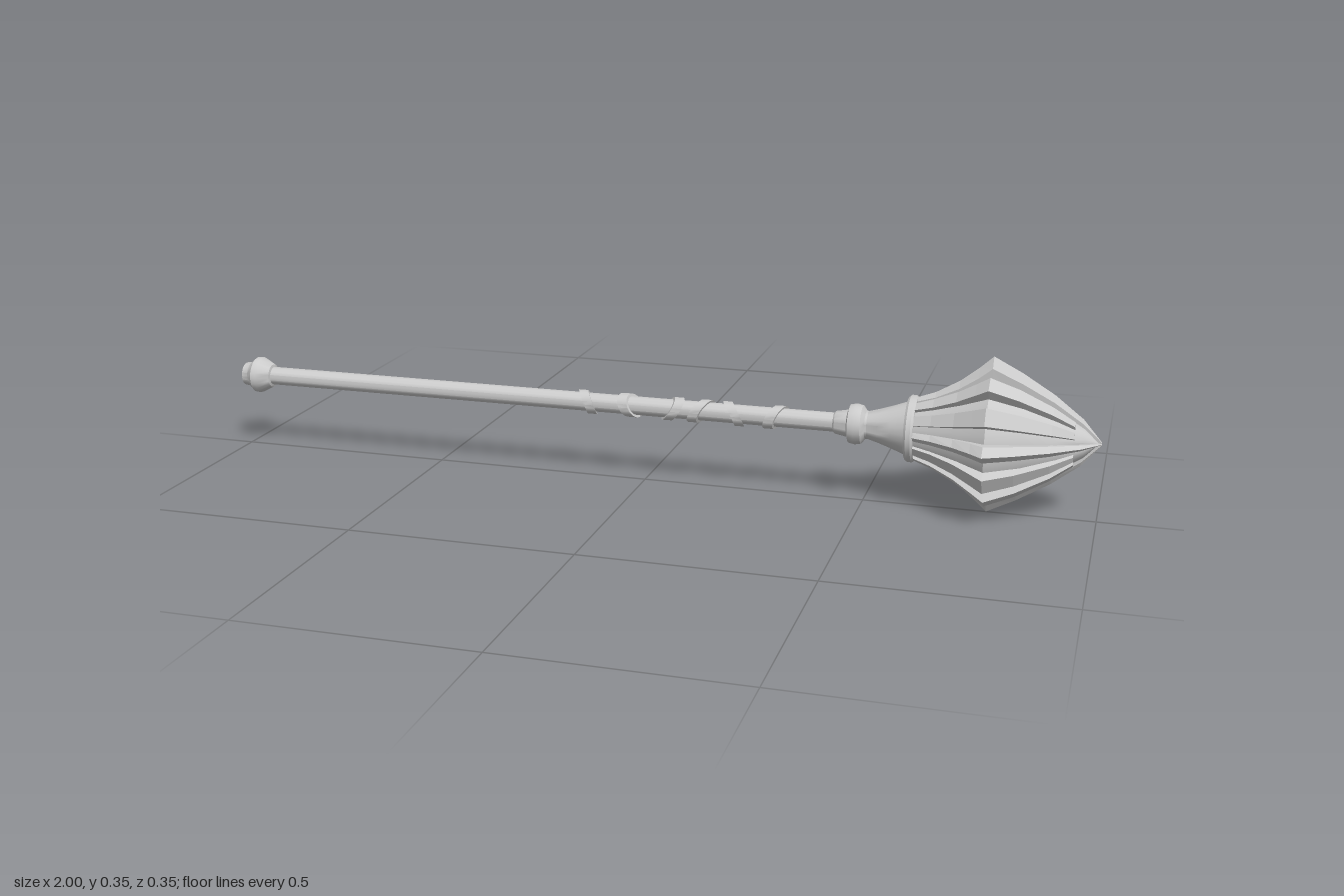
import * as THREE from 'three';
import { toCreasedNormals } from 'three/addons/utils/BufferGeometryUtils.js';

const material = new THREE.MeshStandardMaterial({ color: 0xcccccc, side: THREE.DoubleSide });

// Turned part along x from [x, radius] pairs
function turned(profile, sides) {
  const geo = new THREE.LatheGeometry(profile.map(([x, r]) => new THREE.Vector2(r, x)), sides);
  geo.rotateZ(-Math.PI / 2);
  return geo;
}

function addMesh(parent, name, geo, crease = 0.6) {
  const mesh = new THREE.Mesh(crease ? toCreasedNormals(geo, crease) : geo, material);
  mesh.name = name;
  parent.add(mesh);
  return mesh;
}

// Flange lofted along x from stations [x, inner radius, shoulder radius, ridge radius, half width]
function flangeGeometry(stations) {
  const rings = stations.map(([x, inner, side, top, w]) => [
    [x, inner, -w * 0.75], [x, side, -w], [x, top, 0], [x, side, w], [x, inner, w * 0.75],
  ]);
  const pos = [];
  const tri = (a, b, c) => pos.push(...a, ...b, ...c);
  const n = 5;
  for (let i = 0; i < rings.length - 1; i++) {
    for (let j = 0; j < n; j++) {
      const k = (j + 1) % n;
      tri(rings[i][j], rings[i][k], rings[i + 1][k]);
      tri(rings[i][j], rings[i + 1][k], rings[i + 1][j]);
    }
  }
  const first = rings[0], last = rings[rings.length - 1];
  for (let j = 1; j < n - 1; j++) {
    tri(first[0], first[j + 1], first[j]);
    tri(last[0], last[j], last[j + 1]);
  }
  const geo = new THREE.BufferGeometry();
  geo.setAttribute('position', new THREE.Float32BufferAttribute(pos, 3));
  geo.computeVertexNormals();
  return geo;
}

export function createModel() {
  const model = new THREE.Group();
  model.name = 'mace';
  const body = new THREE.Group();
  body.name = 'maceBody';
  body.position.y = 0.173;
  model.add(body);

  // Handle
  addMesh(body, 'shaft', turned([[-0.95, 0.021], [0.46, 0.021]], 20));
  addMesh(body, 'pommel', turned([
    [-1, 0], [-1, 0.027], [-0.985, 0.029], [-0.97, 0.042], [-0.958, 0.042], [-0.93, 0.027], [-0.928, 0.02],
  ], 20));

  // Slanted bands around the shaft: [x, slant in y, slant in z]
  const bands = [
    [-0.135, -0.4, 0.35], [-0.035, -0.4, -0.35], [0.065, 0.6, 0.4],
    [0.13, 0.5, -0.4], [0.205, -0.5, 0.4], [0.3, 0.4, -0.35],
  ];
  for (const [x, sy, sz] of bands) {
    const geo = turned([[-0.011, 0.019], [-0.011, 0.0265], [0.011, 0.0265], [0.011, 0.019]], 20);
    const p = geo.attributes.position;
    for (let i = 0; i < p.count; i++) p.setX(i, p.getX(i) + sy * p.getY(i) + sz * p.getZ(i));
    addMesh(body, 'shaftBand', geo).position.x = x;
  }

  // Neck below the head
  addMesh(body, 'neckCollar', turned([
    [0.43, 0.02], [0.435, 0.025], [0.462, 0.03], [0.466, 0.042], [0.48, 0.045], [0.494, 0.042],
    [0.502, 0.031], [0.51, 0.03],
  ], 24));
  addMesh(body, 'neckSocket', turned([[0.505, 0.03], [0.53, 0.037], [0.56, 0.047], [0.6, 0.062]], 24));
  addMesh(body, 'headRing', turned([
    [0.592, 0.055], [0.592, 0.069], [0.597, 0.073], [0.607, 0.073], [0.612, 0.069], [0.612, 0.055],
  ], 24));

  // Head
  addMesh(body, 'headCore', turned([
    [0.6, 0.058], [0.65, 0.075], [0.71, 0.1], [0.768, 0.129], [0.84, 0.104], [0.91, 0.067], [0.965, 0.031], [0.995, 0],
  ], 24), 0.5);

  // Four ridged main flanges, with two flat-topped ones between each pair
  const mainFlange = flangeGeometry([
    [0.605, 0.03, 0.062, 0.069, 0.009], [0.65, 0.04, 0.076, 0.086, 0.011], [0.7, 0.05, 0.1, 0.115, 0.0135],
    [0.74, 0.06, 0.127, 0.147, 0.016], [0.768, 0.07, 0.15, 0.173, 0.0175], [0.83, 0.06, 0.122, 0.141, 0.015],
    [0.9, 0.035, 0.084, 0.098, 0.011], [0.96, 0.01, 0.042, 0.051, 0.006], [1, 0, 0.003, 0.004, 0.001],
  ]);
  const flatFlange = flangeGeometry([
    [0.605, 0.03, 0.066, 0.066, 0.01], [0.65, 0.04, 0.082, 0.082, 0.012], [0.7, 0.05, 0.107, 0.107, 0.015],
    [0.74, 0.06, 0.133, 0.133, 0.0175], [0.768, 0.07, 0.152, 0.152, 0.0195], [0.83, 0.06, 0.126, 0.126, 0.0165],
    [0.9, 0.035, 0.086, 0.086, 0.0115], [0.945, 0.015, 0.052, 0.052, 0.007],
  ]);
  for (let i = 0; i < 12; i++) {
    const main = i % 3 === 0;
    const flange = addMesh(body, main ? 'mainFlange' : 'flatFlange', main ? mainFlange : flatFlange, 0);
    flange.rotation.x = (i * Math.PI) / 6;
  }
  return model;
}
